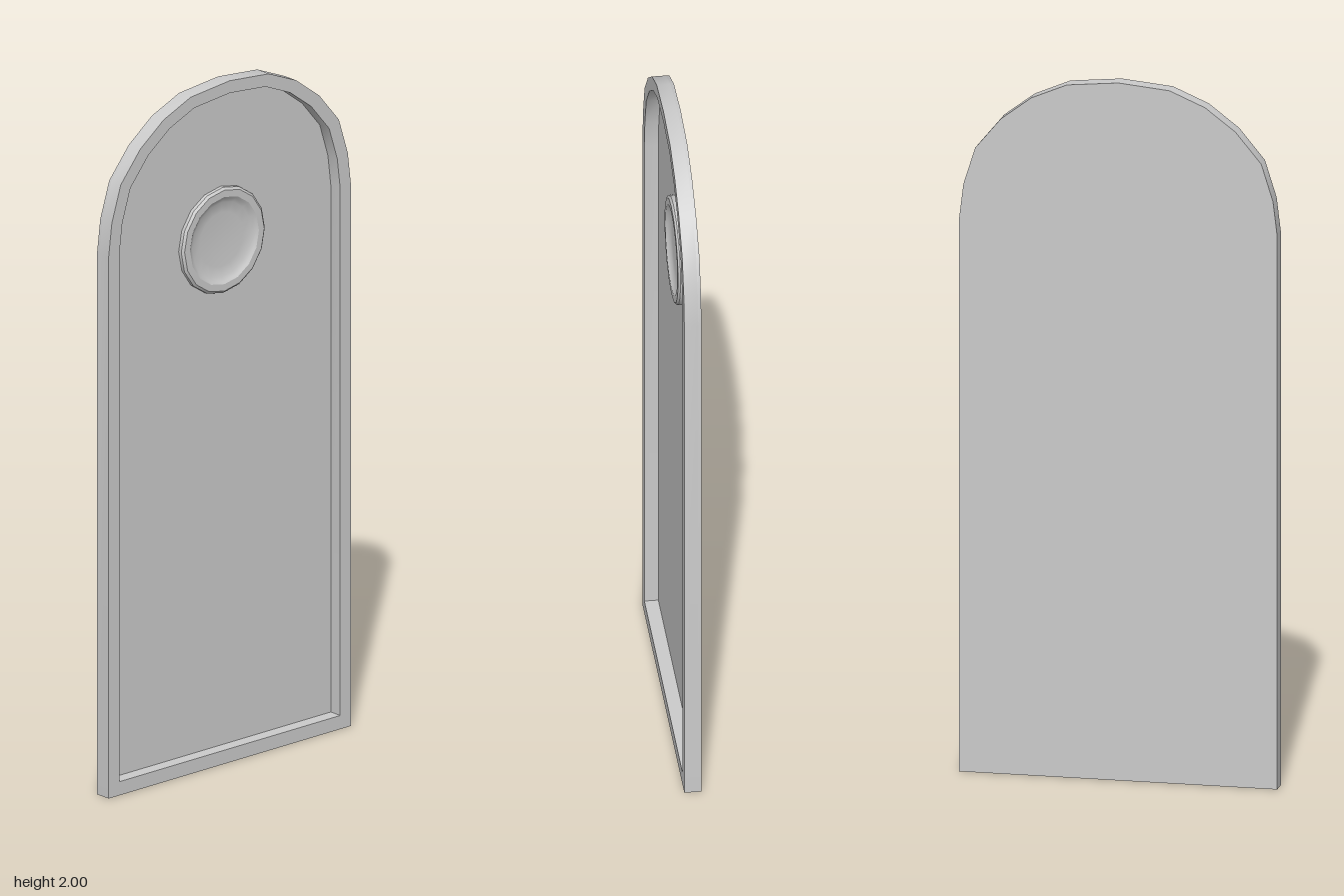
import * as THREE from 'three';
import { toCreasedNormals } from 'three/addons/utils/BufferGeometryUtils.js';

const HALF_DEPTH = 0.024;
const FLOOR_Z = -0.015;
const SPRING_Y = 1.587;

// Right half of the arch, from the springing line to the crown
const ARCH = [[0.45, 1.587], [0.438, 1.685], [0.405, 1.79], [0.332, 1.878], [0.246, 1.943], [0.145, 1.986], [0, 2]];

// Round-topped outline, narrowed by an inset on every side
function outline(inset) {
  const sx = (0.45 - inset) / 0.45;
  const sy = (2 - SPRING_Y - inset * 0.9) / (2 - SPRING_Y);
  const right = ARCH.map(([x, y]) => new THREE.Vector2(x * sx, SPRING_Y + (y - SPRING_Y) * sy));
  const left = right.slice(0, -1).reverse().map((p) => new THREE.Vector2(-p.x, p.y));
  const w = 0.45 - inset;
  return [new THREE.Vector2(-w, inset), new THREE.Vector2(w, inset), ...right, ...left];
}

function addPart(group, name, geometry, material) {
  const mesh = new THREE.Mesh(toCreasedNormals(geometry, 0.5), material);
  mesh.name = name;
  group.add(mesh);
  return mesh;
}

export function createModel() {
  const group = new THREE.Group();
  group.name = 'archedPanel';
  const material = new THREE.MeshStandardMaterial({ color: 0xcccccc });

  // Thin back plate
  const plate = new THREE.ExtrudeGeometry(new THREE.Shape(outline(0)), {
    depth: FLOOR_Z + HALF_DEPTH, bevelEnabled: false,
  });
  plate.translate(0, 0, -HALF_DEPTH);
  addPart(group, 'backPlate', plate, material);

  // Raised border around the recess
  const rim = new THREE.Shape(outline(0));
  rim.holes.push(new THREE.Path(outline(0.04)));
  const border = new THREE.ExtrudeGeometry(rim, { depth: HALF_DEPTH - FLOOR_Z, bevelEnabled: false });
  border.translate(0, 0, FLOOR_Z);
  addPart(group, 'border', border, material);

  // Round finger pull: bevelled ring with a shallow dish
  const profile = [
    [0.155, FLOOR_Z], [0.155, -0.004], [0.148, 0.002], [0.128, 0.002], [0.122, -0.002],
    [0.11, -0.009], [0.08, -0.0115], [0.04, -0.0133], [0, -0.014],
  ].map(([r, h]) => new THREE.Vector2(r, h));
  const pull = new THREE.LatheGeometry(profile, 16);
  pull.rotateX(Math.PI / 2);
  addPart(group, 'fingerPull', pull, material).position.set(0, 1.525, 0);

  return group;
}
